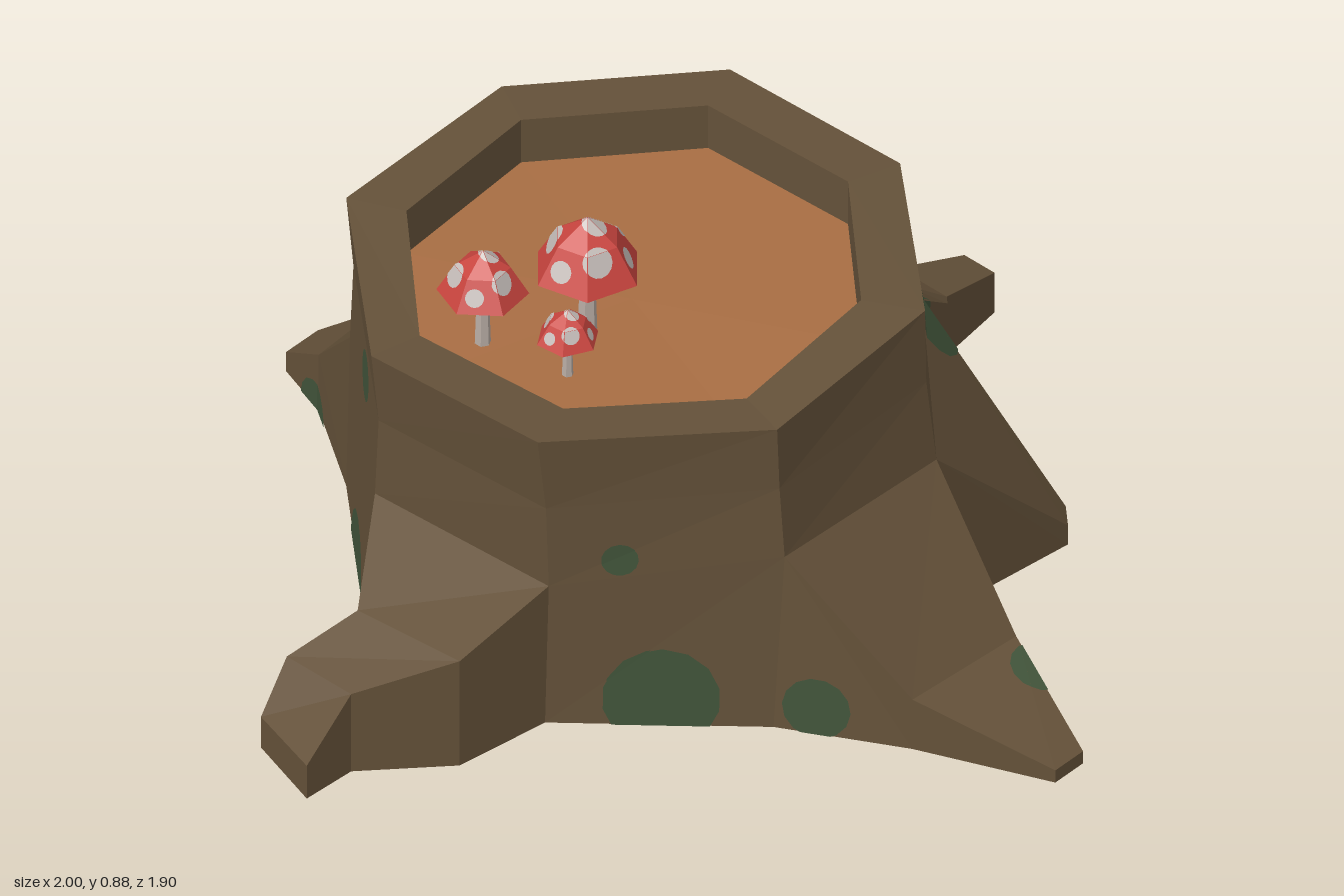
import * as THREE from 'three';

const V = (x, y, z) => new THREE.Vector3(x, y, z);
const groundY = (z) => Math.max(0, 0.028 - 0.028 * z);
const flat = (name, color, extra = {}) =>
  Object.assign(new THREE.MeshStandardMaterial({ color, flatShading: true, ...extra }), { name });

// Geometry from a list of corner points, three per triangle
function fromTriangles(points) {
  const g = new THREE.BufferGeometry().setFromPoints(points);
  g.computeVertexNormals();
  return g;
}

// Round patches painted on a surface: each triangle is clipped to the ball around every spot
function paintedSpots(geometry, spots, lift) {
  const pos = (geometry.index ? geometry.toNonIndexed() : geometry).attributes.position;
  const tris = [];
  for (let i = 0; i < pos.count; i += 3) {
    const t = new THREE.Triangle(...[0, 1, 2].map((k) => new THREE.Vector3().fromBufferAttribute(pos, i + k)));
    if (t.getArea() > 1e-7 && t.getNormal(V(0, 0, 0)).y > -0.8) tris.push(t);
  }
  const out = [];
  for (const [x, y, z, r] of spots) {
    // Snap the centre to the surface
    const p = V(x, y, z);
    const near = tris.map((t) => t.closestPointToPoint(p, V(0, 0, 0)));
    const c = near.reduce((a, b) => (b.distanceTo(p) < a.distanceTo(p) ? b : a));
    for (const t of tris) {
      const n = t.getNormal(V(0, 0, 0));
      const d = n.dot(c.clone().sub(t.a));
      if (Math.abs(d) >= r) continue;
      const centre = c.clone().addScaledVector(n, -d);
      const radius = Math.sqrt(r * r - d * d);
      const u = t.b.clone().sub(t.a).normalize();
      const w = n.clone().cross(u);
      let poly = [t.a, t.b, t.c];
      for (let k = 0; k < 14 && poly.length; k++) {
        const a = (k / 14) * Math.PI * 2;
        const dir = u.clone().multiplyScalar(Math.cos(a)).addScaledVector(w, Math.sin(a));
        const side = (q) => dir.dot(q.clone().sub(centre)) - radius;
        const next = [];
        poly.forEach((q, j) => {
          const e = poly[(j + 1) % poly.length];
          const sq = side(q), se = side(e);
          if (sq <= 0) next.push(q);
          if (sq * se < 0) next.push(q.clone().lerp(e, sq / (sq - se)));
        });
        poly = next;
      }
      for (let j = 1; j + 1 < poly.length; j++)
        for (const q of [poly[0], poly[j], poly[j + 1]]) out.push(q.clone().addScaledVector(n, lift));
    }
  }
  return fromTriangles(out);
}

export function createModel() {
  const model = new THREE.Group();
  model.name = 'treeStump';
  const bark = flat('bark', 0x645139);
  const wood = flat('cut wood', 0xa66c42);
  const moss = flat('moss', 0x41543a);
  const red = flat('cap red', 0xc8443e);
  const pale = flat('spot grey', 0xc4bcb8);
  const stemGrey = flat('stem', 0xb8aca4);

  const add = (parent, name, geometry, material) => {
    const m = new THREE.Mesh(geometry, material);
    m.name = name;
    parent.add(m);
    return m;
  };

  // Octagonal rings, running from front-left round by the +x side
  const top = [[-0.19, 0.70, 0.45], [0.24, 0.735, 0.42], [0.52, 0.755, 0.08], [0.5, 0.762, -0.35],
    [0.17, 0.752, -0.63], [-0.27, 0.735, -0.61], [-0.56, 0.70, -0.26], [-0.53, 0.695, 0.15]].map((p) => V(...p));
  const mid = [[-0.18, 0.4, 0.46], [0.24, 0.4, 0.45], [0.58, 0.4, 0.08], [0.55, 0.38, -0.36],
    [0.19, 0.39, -0.64], [-0.25, 0.39, -0.62], [-0.54, 0.36, -0.27], [-0.5, 0.34, 0.15]].map((p) => V(...p));
  const ground = [[-0.21, 0.46], [0.34, 0.44], [0.58, 0.15], [0.54, -0.39],
    [0.23, -0.63], [-0.26, -0.62], [-0.55, -0.28], [-0.51, 0.15]].map(([x, z]) => V(x, groundY(z), z));
  const waist = top.map((p, i) => {
    const q = p.clone().lerp(mid[i], 0.48);
    return V(q.x * 0.98, q.y, q.z * 0.985);
  });
  const inner = [[-0.16, 0.34], [0.18, 0.31], [0.41, 0.05], [0.39, -0.3],
    [0.12, -0.53], [-0.22, -0.5], [-0.45, -0.24], [-0.42, 0.11]].map(([x, z], i) => V(x, top[i].y, z));
  const floor = inner.map((p) => V(p.x, p.y - 0.1, p.z));

  const tris = [];
  const quad = (a, b, c, d) => tris.push(a, b, c, a, c, d);
  const band = (lo, hi, i) => quad(lo[i], lo[(i + 1) % 8], hi[(i + 1) % 8], hi[i]);

  // Roots by octagon side; each section is left x, z, right x, z, top height
  const roots = {
    0: [[-0.07, 0.69, 0.21, 0.69, 0.125], [0.05, 0.95, 0.13, 0.945, 0.03]],
    1: [[0.59, 0.455, 0.63, 0.41, 0.06]],
    2: [[0.74, -0.01, 0.68, -0.24, 0.26], [0.84, -0.11, 0.84, -0.24, 0.17], [1, -0.14, 1, -0.22, 0.125]],
    4: [[0.04, -0.84, -0.13, -0.82, 0.18], [0, -0.95, -0.09, -0.945, 0.1]],
    6: [[-0.74, -0.12, -0.72, 0.13, 0.27], [-0.88, -0.17, -0.88, 0, 0.21], [-0.95, -0.17, -1, 0, 0.105]],
  };
  const centre = V(0, groundY(0), -0.08);
  for (let i = 0; i < 8; i++) {
    const j = (i + 1) % 8;
    band(waist, top, i);
    band(mid, waist, i);
    band(top, inner, i);
    band(inner, floor, i);
    tris.push(centre, ground[j], ground[i]);
    if (!roots[i]) {
      band(ground, mid, i);
      continue;
    }
    let s = [ground[i], ground[j], mid[j], mid[i]];
    for (const [lx, lz, rx, rz, h] of roots[i]) {
      const n = [V(lx, groundY(lz), lz), V(rx, groundY(rz), rz), V(rx, h, rz), V(lx, h, lz)];
      for (let k = 0; k < 4; k++) quad(s[k], s[(k + 1) % 4], n[(k + 1) % 4], n[k]);
      s = n;
    }
    quad(...s);
  }
  const stump = fromTriangles(tris);
  add(model, 'stumpBark', stump, bark);

  // Sunken cut face
  const disc = [];
  const heart = V(-0.02, 0.63, -0.1);
  floor.forEach((p, i) => disc.push(heart, p, floor[(i + 1) % 8]));
  add(model, 'cutFace', fromTriangles(disc), wood);

  // Moss patches on the bark
  const mossSpots = [
    [-0.36, 0.08, 0.31, 0.11], [-0.41, 0.4, 0.25, 0.035], [-0.15, 0.07, 0.52, 0.065], [0.24, 0.03, 0.6, 0.085],
    [0.56, 0.38, 0.11, 0.085], [0.75, 0.04, -0.02, 0.1], [0.15, 0.02, 0.72, 0.1], [0.4, 0.06, -0.48, 0.085],
    [-0.05, 0.03, -0.8, 0.06], [-0.42, 0.04, -0.45, 0.1], [-0.43, 0.5, -0.42, 0.05], [0.3, 0.04, -0.58, 0.04],
  ];
  add(model, 'mossPatches', paintedSpots(stump, mossSpots, 0.003), moss);

  // Mushrooms: x, z, cap radius, cap base, cap top, turn
  const mushrooms = [
    [-0.14, -0.1, 0.108, 0.765, 0.885, 0.25],
    [-0.3, -0.22, 0.088, 0.735, 0.83, 0.7],
    [-0.26, -0.035, 0.062, 0.7, 0.765, 0.1],
  ];
  mushrooms.forEach(([x, z, r, y0, y1, turn], m) => {
    const g = new THREE.Group();
    g.name = 'mushroom' + (m + 1);
    model.add(g);
    const h = y1 - y0;
    const profile = [[0, 0.15 * h], [r, 0], [0.6 * r, 0.62 * h], [0, h]].map((p) => new THREE.Vector2(...p));
    const cap = new THREE.LatheGeometry(profile, 6).rotateY(turn).translate(x, y0, z);
    add(g, 'cap', cap, red);
    const spots = [[0.15, 0.9, 0.24]];
    for (let k = 0; k < 6; k++) spots.push([0.72, k % 2 ? 0.3 : 0.55, k % 2 ? 0.2 : 0.27]);
    const placed = spots.map(([d, up, size], k) => {
      const a = k * 1.047 + turn + 0.35;
      return [x + Math.sin(a) * d * r, y0 + up * h, z + Math.cos(a) * d * r, size * r];
    });
    add(g, 'capSpots', paintedSpots(cap, placed, 0.0015), pale);
    const foot = 0.615, tall = y0 + 0.15 * h - foot;
    const stem = new THREE.CylinderGeometry(r * 0.13, r * 0.18, tall, 6).translate(x, foot + tall / 2, z);
    add(g, 'stem', stem, stemGrey);
  });
  return model;
}
